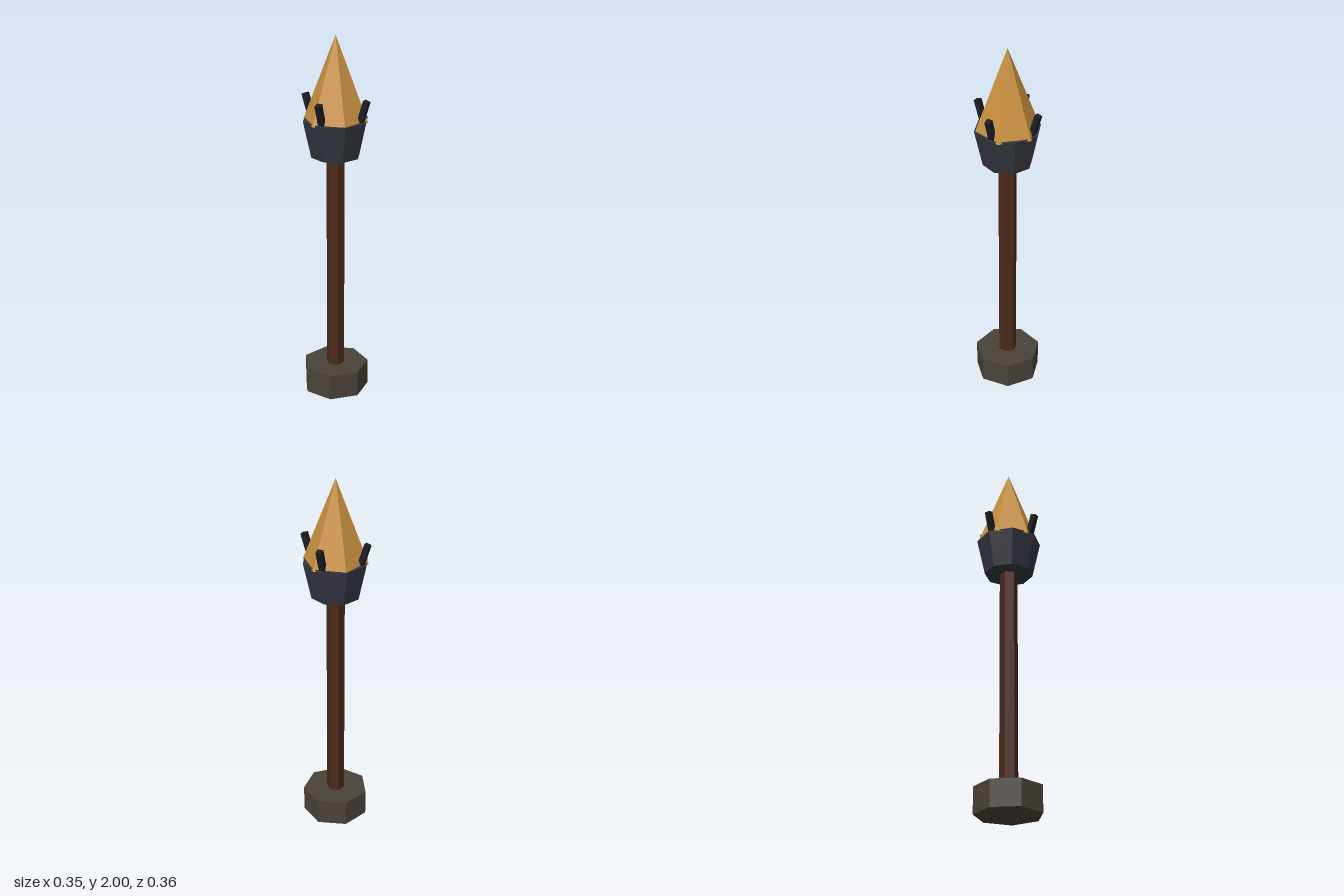
import * as THREE from 'three';

const material = (color) => new THREE.MeshStandardMaterial({ color, flatShading: true });

export function createModel() {
  const model = new THREE.Group();
  model.name = 'standingTorch';

  const add = (name, geometry, mat, y) => {
    const mesh = new THREE.Mesh(geometry, mat);
    mesh.name = name;
    mesh.position.y = y;
    model.add(mesh);
    return mesh;
  };

  // Seven-sided stone foot, one corner pointing to the back
  const foot = add('foot', new THREE.CylinderGeometry(0.181, 0.181, 0.145, 7), material(0x4a4238), 0.0725);
  foot.rotation.y = Math.PI;

  // Six-sided wooden pole, running from the foot into the cup
  add('pole', new THREE.CylinderGeometry(0.049, 0.049, 1.3, 6), material(0x4a2a1a), 0.75);

  // Eight-sided iron cup, wider at the rim
  add('cup', new THREE.CylinderGeometry(0.176, 0.132, 0.2, 8), material(0x343640), 1.46);

  // Six-sided flame; its corners just break through the rim
  add('flame', new THREE.ConeGeometry(0.173, 0.45, 6), material(0xc88f40), 1.775);

  // Four iron prongs on the diagonals, leaning outward
  const prongMaterial = material(0x1b1d22);
  const length = 0.18, lean = 0.3;
  for (let i = 0; i < 4; i++) {
    const holder = new THREE.Group();
    holder.name = 'prong' + (i + 1);
    holder.rotation.y = Math.PI / 4 + (i * Math.PI) / 2;
    const prong = new THREE.Mesh(new THREE.BoxGeometry(0.03, length, 0.03), prongMaterial);
    prong.name = 'prongBar';
    prong.position.set(0, 1.59, 0.154);
    prong.rotation.x = lean;
    holder.add(prong);
    model.add(holder);
  }

  return model;
}
